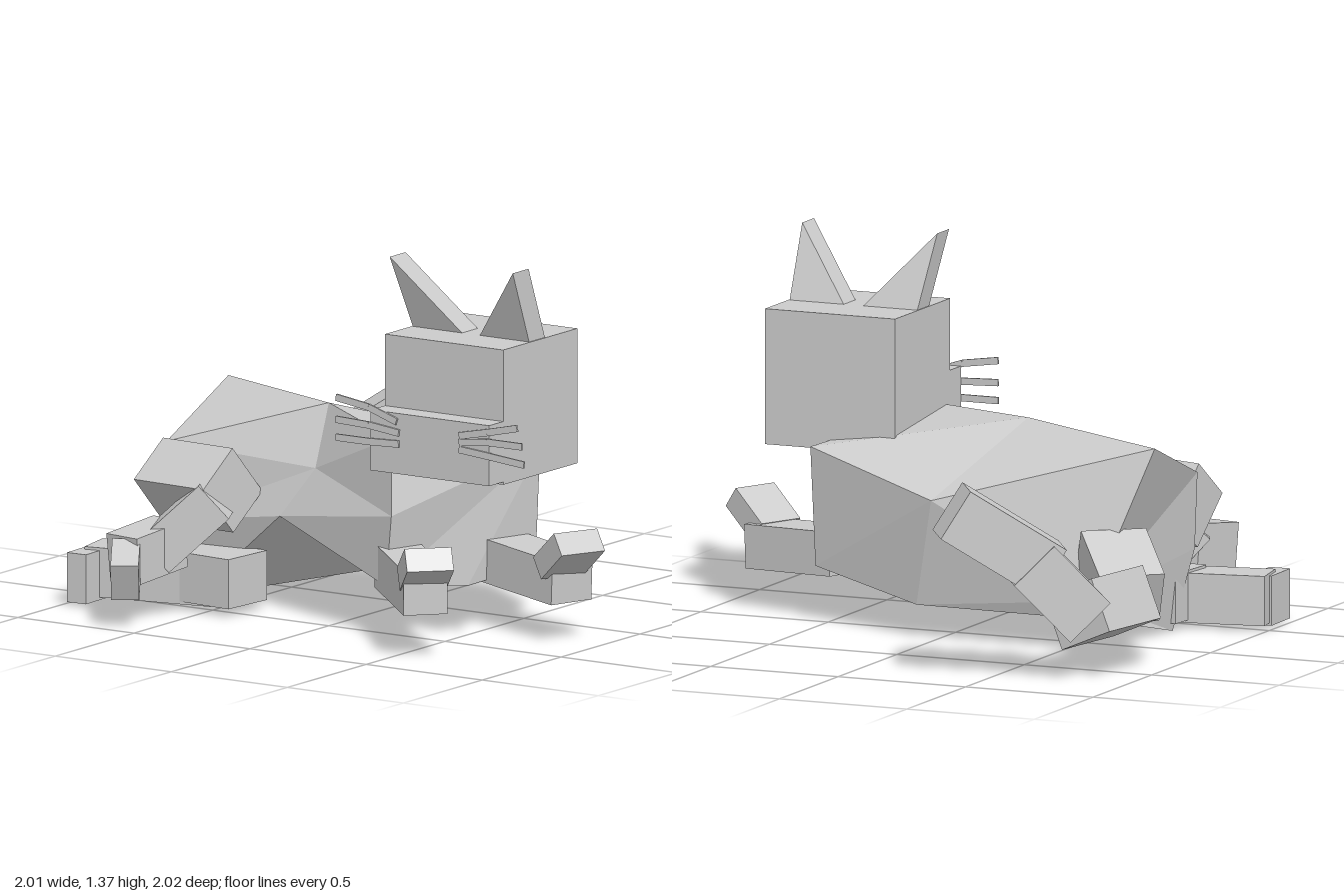
import * as THREE from 'three';

const grey = new THREE.MeshStandardMaterial({ color: 0xcccccc, flatShading: true });
grey.name = 'plain grey';

const V = (p) => new THREE.Vector3(...p);

function add(parent, name, geometry) {
  const mesh = new THREE.Mesh(geometry, grey);
  mesh.name = name;
  parent.add(mesh);
  return mesh;
}

// Box running from a to b: w is its width, h its height, roll turns it about the run
function beam(parent, name, a, b, w, h, roll = 0) {
  const from = V(a), to = V(b);
  const mesh = add(parent, name, new THREE.BoxGeometry(w, h, from.distanceTo(to)));
  mesh.position.copy(from).add(to).multiplyScalar(0.5);
  mesh.lookAt(to);
  mesh.rotateZ(roll);
  return mesh;
}

// Joined beams along a list of [name, from, to, width, height, roll]
function limb(parent, name, parts) {
  const group = new THREE.Group();
  group.name = name;
  parts.forEach((p) => beam(group, ...p));
  parent.add(group);
}

// Closed skin over cross-sections given from rear to front
function loft(rings) {
  const pos = [];
  const tri = (...pts) => pts.forEach((p) => pos.push(...p));
  const n = rings[0].length;
  for (let i = 0; i < rings.length - 1; i++) {
    for (let j = 0; j < n; j++) {
      const k = (j + 1) % n;
      const [a, b, c, d] = [rings[i][j], rings[i][k], rings[i + 1][k], rings[i + 1][j]];
      tri(a, b, d);
      tri(b, c, d);
    }
  }
  const first = rings[0], last = rings[rings.length - 1];
  for (let j = 1; j < n - 1; j++) {
    tri(last[0], last[j], last[j + 1]);
    tri(first[0], first[j + 1], first[j]);
  }
  const g = new THREE.BufferGeometry();
  g.setAttribute('position', new THREE.Float32BufferAttribute(pos, 3));
  g.computeVertexNormals();
  return g;
}

export function createModel() {
  const cat = new THREE.Group();
  cat.name = 'lyingCat';

  // Torso: hips, waist and chest sections
  add(cat, 'torso', loft([
    [[-0.62, 0.2, -0.2], [-0.8, 0.74, -0.04], [-0.76, 0.58, 0.41],
      [-0.74, 0.3, 0.43], [-0.69, 0.01, 0.35], [-0.65, 0.13, -0.18]],
    [[0, 0.52, -0.21], [-0.17, 0.76, 0.25], [-0.16, 0.54, 0.35],
      [-0.28, 0.36, 0.4], [-0.13, 0.12, 0], [0.08, 0.13, -0.16]],
    [[0.57, 0.64, 0], [0.29, 0.73, 0.53], [0.33, 0.46, 0.59],
      [0.3, 0.2, 0.58], [0.45, 0.17, 0.28], [0.55, 0.21, 0]],
  ]));

  // Head with a muzzle block
  const head = new THREE.Group();
  head.name = 'head';
  cat.add(head);
  add(head, 'skull', new THREE.BoxGeometry(0.51, 0.49, 0.47)).position.set(0.53, 0.865, 0.315);
  add(head, 'muzzle', new THREE.BoxGeometry(0.51, 0.22, 0.12)).position.set(0.53, 0.74, 0.58);

  // Ears: triangular plates leaning forward, tips turned slightly aside
  for (const s of [-1, 1]) {
    const x = (d) => 0.53 + s * d;
    const section = (z) => {
      const pts = [[x(0.03), 1.1, z], [x(0.25), 1.1, z], [x(0.265) - 0.02, 1.375, z + 0.1]];
      return s > 0 ? pts : pts.reverse();
    };
    add(head, s > 0 ? 'leftEar' : 'rightEar', loft([section(0.275), section(0.375)]));
  }

  // Whiskers: three thin strips on each side
  const whiskers = [
    [[0.39, 0.82], [0.27, 0.86], [0.13, 0.88]],
    [[0.4, 0.78], [0.27, 0.795], [0.13, 0.8]],
    [[0.4, 0.74], [0.27, 0.735], [0.13, 0.735]],
    [[0.66, 0.8], [0.78, 0.825], [0.91, 0.855]],
    [[0.66, 0.775], [0.78, 0.79], [0.93, 0.79]],
    [[0.66, 0.75], [0.78, 0.74], [0.94, 0.725]],
  ];
  whiskers.forEach((pts) => {
    for (let i = 0; i < 2; i++) {
      beam(head, 'whisker', [...pts[i], 0.645], [...pts[i + 1], 0.645], 0.008, 0.025);
    }
  });

  // Front legs, each with a raised paw
  limb(cat, 'rightFrontLeg', [
    ['foreleg', [0.27, 0.26, 0.47], [0.62, 0.25, 0.8], 0.16, 0.16],
    ['paw', [0.57, 0.29, 0.75], [0.67, 0.385, 0.85], 0.17, 0.09],
  ]);
  limb(cat, 'leftFrontLeg', [
    ['foreleg', [0.48, 0.25, 0.11], [0.87, 0.23, 0.24], 0.18, 0.16],
    ['paw', [0.82, 0.28, 0.25], [0.95, 0.39, 0.31], 0.18, 0.09],
  ]);

  // Upper hind leg
  limb(cat, 'upperHindLeg', [
    ['thigh', [-0.74, 0.45, 0.46], [-0.4, 0.46, 0.52], 0.2, 0.23, 0.7],
    ['shin', [-0.43, 0.44, 0.58], [-0.62, 0.24, 0.68], 0.18, 0.16],
    ['foot', [-0.6, 0.27, 0.62], [-0.64, 0.24, 0.86], 0.15, 0.17],
    ['paw', [-0.64, 0.25, 0.84], [-0.56, 0.18, 0.97], 0.1, 0.15],
  ]);

  // Lower hind leg, folded flat on the ground
  limb(cat, 'lowerHindLeg', [
    ['thigh', [-0.72, 0.13, 0.44], [-0.37, 0.13, 0.47], 0.22, 0.18],
    ['shin', [-0.5, 0.12, 0.46], [-0.98, 0.12, 0.55], 0.16, 0.18],
    ['paw', [-0.95, 0.11, 0.54], [-0.945, 0.11, 0.71], 0.08, 0.18],
  ]);

  // Tail: four blocks curling back and up
  limb(cat, 'tail', [
    ['tailBase', [-0.65, 0.36, -0.09], [-0.82, 0.24, -0.3], 0.24, 0.2],
    ['tailMiddle', [-0.82, 0.235, -0.31], [-0.77, 0.235, -0.64], 0.22, 0.2, 0.4],
    ['tailBend', [-0.8, 0.22, -0.62], [-0.63, 0.43, -0.73], 0.2, 0.2],
    ['tailTip', [-0.68, 0.4, -0.69], [-0.39, 0.62, -0.88], 0.2, 0.2],
  ]);

  return cat;
}
